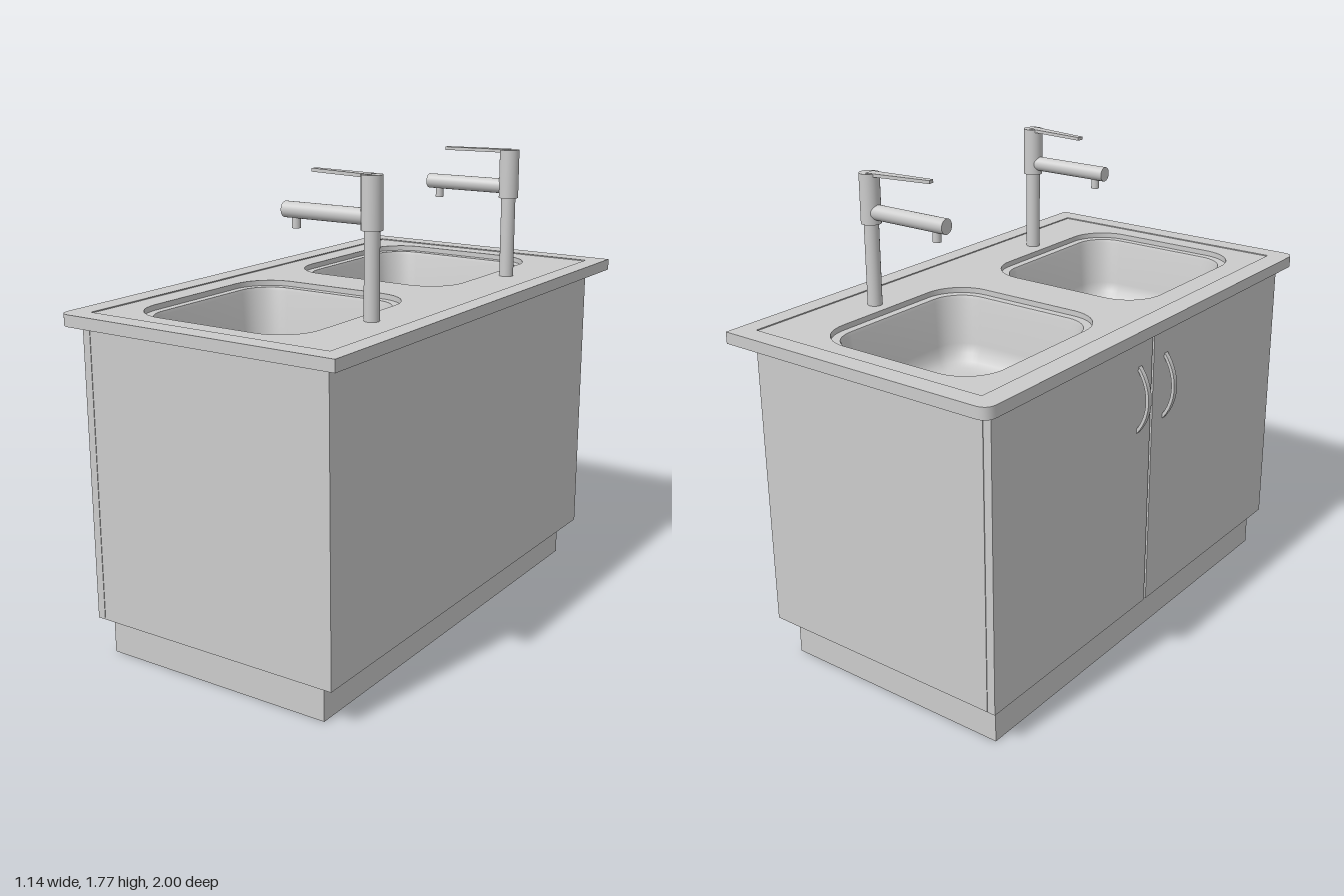
import * as THREE from 'three';
import { toCreasedNormals } from 'three/addons/utils/BufferGeometryUtils.js';

const grey = new THREE.MeshStandardMaterial({ color: 0xcccccc });
const TOP = 1.282; // worktop surface inside the raised border

function add(parent, name, geometry, x = 0, y = 0, z = 0) {
  const mesh = new THREE.Mesh(geometry, grey);
  mesh.name = name;
  mesh.position.set(x, y, z);
  parent.add(mesh);
  return mesh;
}

// Rounded rectangle outline in plan (x, z)
function roundedLoop(cx, cz, w, d, r, n = 10) {
  const points = [];
  [[1, 1], [-1, 1], [-1, -1], [1, -1]].forEach(([sx, sz], q) => {
    for (let i = 0; i <= n; i++) {
      const a = (q + i / n) * Math.PI / 2;
      points.push(new THREE.Vector2(
        cx + sx * (w / 2 - r) + r * Math.cos(a),
        cz + sz * (d / 2 - r) + r * Math.sin(a)));
    }
  });
  return points;
}

const rectangle = (x0, x1, z) => [[x0, -z], [x1, -z], [x1, z], [x0, z]].map(p => new THREE.Vector2(...p));

// Plan outline with holes, extruded from y0 up to y1
function slab(shape, holes, y0, y1) {
  shape.holes = holes.map(points => new THREE.Path(points));
  const g = new THREE.ExtrudeGeometry(shape, { depth: y1 - y0, bevelEnabled: false, curveSegments: 10 });
  g.rotateX(Math.PI / 2).translate(0, y1, 0);
  return toCreasedNormals(g, 0.5);
}

// Worktop plan: square at the back, rounded at the door side
function worktopShape() {
  const s = new THREE.Shape(), r = 0.05;
  s.moveTo(0.57, -1).lineTo(0.57, 1).lineTo(-0.57 + r, 1);
  s.quadraticCurveTo(-0.57, 1, -0.57, 1 - r);
  s.lineTo(-0.57, -1 + r);
  s.quadraticCurveTo(-0.57, -1, -0.57 + r, -1);
  return s;
}

// Basin lofted through rounded rectangles: [inset, height, corner radius]
const basin = { x: -0.049, w: 0.708, d: 0.756, r: 0.15 };
function basinGeometry() {
  const sections = [
    [0, 1.262, 0.15], [0.03, 1.262, 0.125], [0.034, 1.25, 0.122], [0.052, 1.08, 0.115],
    [0.06, 1.045, 0.11], [0.078, 1.018, 0.1], [0.105, 1.004, 0.09], [0.14, 1.0, 0.08],
  ];
  const positions = [], index = [];
  let n = 0;
  for (const [inset, y, r] of sections) {
    const loop = roundedLoop(0, 0, basin.w - 2 * inset, basin.d - 2 * inset, r);
    n = loop.length;
    loop.forEach(p => positions.push(p.x, y, p.y));
  }
  const last = sections.length - 1, centre = positions.length / 3;
  positions.push(0, 1.0, 0);
  for (let j = 0; j < n; j++) {
    const k = (j + 1) % n;
    for (let i = 0; i < last; i++) {
      const a = i * n + j, b = i * n + k;
      index.push(a, a + n, b, b, a + n, b + n);
    }
    index.push(last * n + j, centre, last * n + k);
  }
  const g = new THREE.BufferGeometry();
  g.setAttribute('position', new THREE.Float32BufferAttribute(positions, 3));
  g.setIndex(index);
  return toCreasedNormals(g, 0.7);
}

// Bowed door pull: a thin arc band
function pullGeometry() {
  const R = 0.203, t = 0.012, half = 0.68, width = 0.02;
  const s = new THREE.Shape();
  s.absarc(0, 0, R, Math.PI - half, Math.PI + half, false);
  s.absarc(0, 0, R - t, Math.PI + half, Math.PI - half, true);
  const g = new THREE.ExtrudeGeometry(s, { depth: width, bevelEnabled: false, curveSegments: 20 });
  return toCreasedNormals(g.translate(0, 0, -width / 2), 0.5);
}

// Tap with a side spout; the lever leans toward the middle of the unit
function makeTap(lean) {
  const tap = new THREE.Group();
  tap.name = 'tap';
  const rod = (r, h) => new THREE.CylinderGeometry(r, r, h, 32);
  add(tap, 'tapPost', rod(0.027, 0.31), 0, 1.435, 0);
  add(tap, 'tapHead', rod(0.037, 0.182), 0, 1.676, 0);
  add(tap, 'tapSpout', rod(0.028, 0.34).rotateZ(Math.PI / 2), -0.18, 1.628, 0);
  add(tap, 'tapNozzle', rod(0.015, 0.05), -0.305, 1.592, 0);
  const lever = new THREE.Group();
  lever.name = 'tapLever';
  lever.rotation.y = lean * 0.14;
  const outline = new THREE.Shape();
  outline.moveTo(0, -0.022).lineTo(0, 0.022).lineTo(-0.258, 0.012).lineTo(-0.258, -0.012);
  add(lever, 'leverBlade', slab(outline, [], 1.757, 1.769));
  tap.add(lever);
  return tap;
}

export function createModel() {
  const model = new THREE.Group();
  model.name = 'doubleSinkUnit';

  // Plinth frame, open underneath
  add(model, 'plinth', slab(new THREE.Shape(rectangle(-0.495, 0.44, 0.885)),
    [rectangle(-0.465, 0.41, 0.855)], 0, 0.145));

  // Cabinet walls and floor
  add(model, 'cabinetWalls', slab(new THREE.Shape(rectangle(-0.495, 0.5, 0.93)),
    [rectangle(-0.465, 0.47, 0.9)], 0.145, 1.243));
  add(model, 'cabinetFloor', new THREE.BoxGeometry(0.935, 0.03, 1.8), 0.0025, 0.16, 0);

  // Doors with pulls
  for (const side of [-1, 1]) {
    add(model, 'door', new THREE.BoxGeometry(0.031, 1.098, 0.924), -0.5125, 0.694, side * 0.468);
    add(model, 'doorPull', pullGeometry(), -0.372, 1.002, side * 0.087);
  }

  // Worktop with basin openings and a slightly raised border
  const basinZ = [-0.476, 0.471];
  const openings = basinZ.map(z => roundedLoop(basin.x, z, basin.w, basin.d, basin.r));
  add(model, 'worktop', slab(worktopShape(), openings, 1.243, TOP));
  add(model, 'worktopBorder', slab(worktopShape(), [rectangle(-0.49, 0.5, 0.925)], TOP, 1.286));

  // Basins
  const bowl = basinGeometry();
  basinZ.forEach(z => add(model, 'basin', bowl, basin.x, 0, z));

  // Taps
  [[-0.467, 1], [0.495, -1]].forEach(([z, lean]) => {
    const tap = makeTap(lean);
    tap.position.set(0.372, 0, z);
    model.add(tap);
  });

  return model;
}
